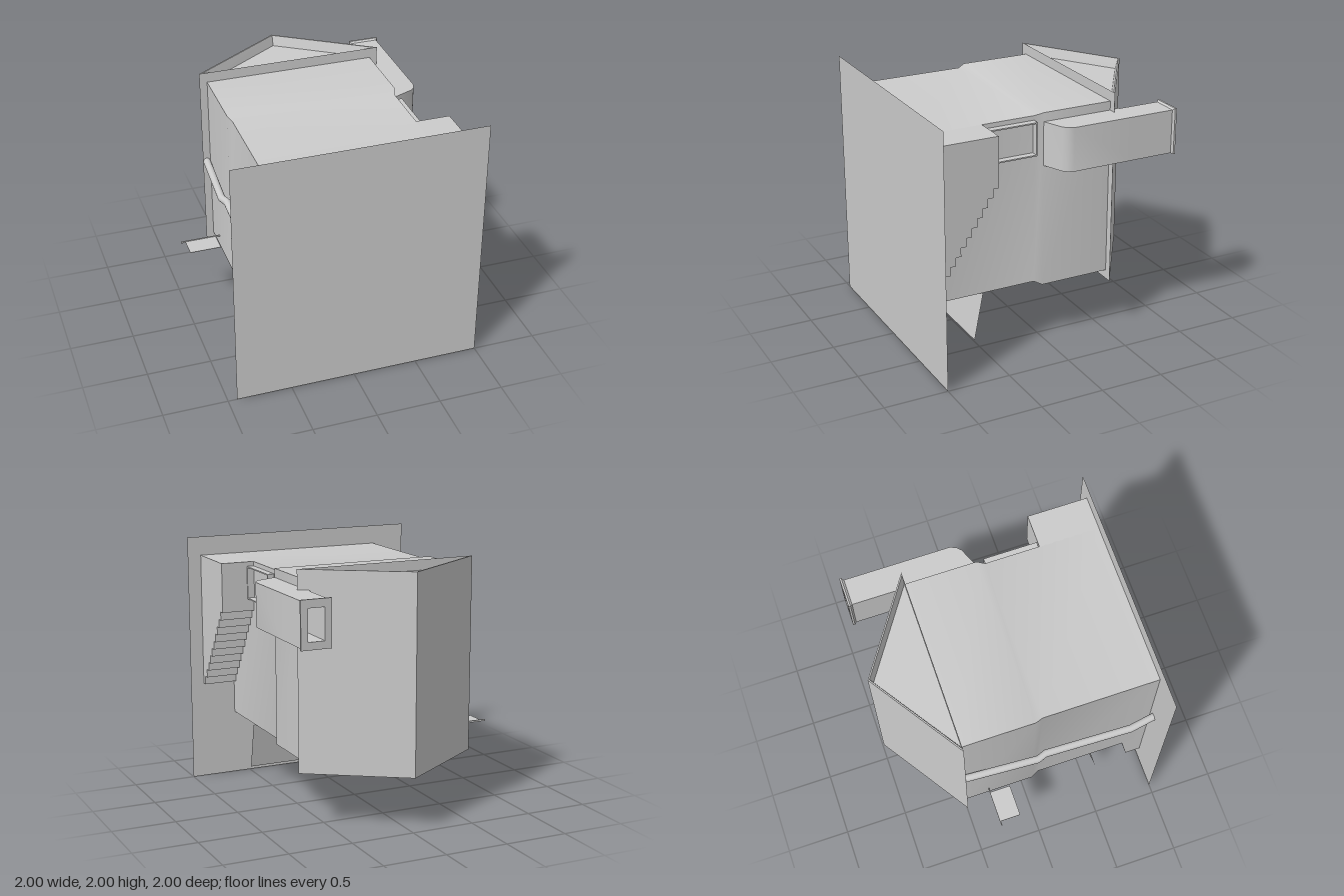
import * as THREE from 'three';
import { toCreasedNormals } from 'three/addons/utils/BufferGeometryUtils.js';

const material = new THREE.MeshStandardMaterial({ color: 0xcccccc });
const thin = new THREE.MeshStandardMaterial({ color: 0xcccccc, side: THREE.DoubleSide });

// Skin a stack of equal-length convex rings of [x, y, z], capped at both ends
function loft(rings, crease = 0.4) {
  const n = rings[0].length;
  const tris = [];
  for (let r = 0; r < rings.length - 1; r++) {
    for (let i = 0; i < n; i++) {
      const j = (i + 1) % n;
      const [a, b, c, d] = [rings[r][i], rings[r][j], rings[r + 1][j], rings[r + 1][i]];
      tris.push([a, b, c], [a, c, d]);
    }
  }
  const first = rings[0], last = rings[rings.length - 1];
  for (let i = 1; i < n - 1; i++) {
    tris.push([first[0], first[i + 1], first[i]], [last[0], last[i], last[i + 1]]);
  }
  // Turn the faces outward
  const v = (p) => new THREE.Vector3(...p);
  const volume = tris.reduce((s, [a, b, c]) => s + v(a).dot(v(b).cross(v(c))), 0);
  if (volume < 0) tris.forEach((t) => t.reverse());
  const geo = new THREE.BufferGeometry();
  geo.setAttribute('position', new THREE.Float32BufferAttribute(tris.flat(2), 3));
  geo.computeVertexNormals();
  return toCreasedNormals(geo, crease);
}

const rectZ = (x0, x1, y0, y1, z) => [[x0, y0, z], [x1, y0, z], [x1, y1, z], [x0, y1, z]];

function box(x0, x1, y0, y1, z0, z1) {
  return new THREE.BoxGeometry(x1 - x0, y1 - y0, z1 - z0)
    .translate((x0 + x1) / 2, (y0 + y1) / 2, (z0 + z1) / 2);
}

const shapeOf = (pts) => new THREE.Shape(pts.map((p) => new THREE.Vector2(...p)));

function extrude(shape, depth) {
  return new THREE.ExtrudeGeometry(shape, { depth, bevelEnabled: false });
}

export function createModel() {
  const model = new THREE.Group();
  const add = (name, geo, mat = material, parent = model) => {
    const mesh = new THREE.Mesh(geo, mat);
    mesh.name = name;
    parent.add(mesh);
    return mesh;
  };

  // The building lies on its back: its ground is at z = 1 and its ridge at z = -1
  add('ground', new THREE.PlaneGeometry(1.93, 2).translate(0.035, 1, 1), thin);

  // Walls, with a slightly wider upper storey
  add('walls', loft([
    rectZ(-0.655, 0.625, 0.52, 1.85, 0.999),
    rectZ(-0.655, 0.625, 0.52, 1.85, 0.1),
    rectZ(-0.68, 0.65, 0.49, 1.87, 0.04),
    rectZ(-0.68, 0.65, 0.49, 1.87, -0.52),
  ]));

  // Gabled roof, its underside sloping back from the rim to the gable walls
  const gable = (x0, x1, peak, y) => [[x0, y, -0.52], [x1, y, -0.52], [-0.013, y, peak]];
  add('roof', loft([
    gable(-0.68, 0.65, -0.963, 0.49),
    gable(-0.72, 0.69, -0.987, 0.42),
    gable(-0.74, 0.71, -1, 0.42),
    gable(-0.74, 0.71, -1, 1.95),
    gable(-0.72, 0.69, -0.987, 1.95),
    gable(-0.68, 0.65, -0.963, 1.87),
  ], 0.1));

  // Outside stair, solid underneath, with a square landing
  const stair = [[-1, 1.85], [-1, 0.79]];
  const steps = 11, run = 0.473 / steps;
  for (let i = 0; i < steps; i++) {
    const y = 0.79 + i * 0.067;
    if (i > 0) stair.push([-1 + run * i, y]);
    stair.push([-1 + run * (i + 1), y]);
  }
  stair.push([-0.527, 1.85]);
  add('stairs', extrude(shapeOf(stair), 0.27).rotateY(Math.PI / 2).translate(0.62, 0, 0));

  // Door frame at the head of the stair
  const frame = shapeOf([[-0.525, 1.555], [-0.105, 1.555], [-0.105, 1.815], [-0.525, 1.815]]);
  frame.holes.push(shapeOf([[-0.515, 1.565], [-0.115, 1.565], [-0.115, 1.805], [-0.515, 1.805]]));
  add('doorFrame', extrude(frame, 0.06).rotateY(Math.PI / 2).translate(0.62, 0, 0));

  // Chimney: curved foot, hollow stack and flared rim
  const chimney = new THREE.Group();
  chimney.name = 'chimney';
  model.add(chimney);
  const foot = shapeOf([[0.64, 0.045], [0.65, 0.04], [0.81, -0.025], [0.84, -0.055],
    [0.86, -0.1], [0.86, -0.6], [0.64, -0.6]]);
  add('chimneyFoot', toCreasedNormals(extrude(foot, 0.34).rotateX(Math.PI / 2).translate(0, 1.8, 0), 0.7),
    material, chimney);
  const stack = shapeOf([[0.65, 1.46], [0.86, 1.46], [0.86, 1.8], [0.65, 1.8]]);
  stack.holes.push(shapeOf([[0.69, 1.51], [0.82, 1.51], [0.82, 1.75], [0.69, 1.75]]));
  add('chimneyStack', extrude(stack, 0.345).translate(0, 0, -0.945), material, chimney);
  const rim = [
    rectZ(0.65, 0.86, 1.46, 1.8, -0.93),
    rectZ(0.637, 0.875, 1.452, 1.812, -0.945),
    rectZ(0.637, 0.875, 1.452, 1.812, -0.96),
    rectZ(0.69, 0.82, 1.51, 1.75, -0.96),
    rectZ(0.69, 0.82, 1.51, 1.75, -0.93),
  ];
  // Four sides of the rim, each a closed strip
  for (let i = 0; i < 4; i++) {
    const j = (i + 1) % 4;
    add('chimneyRim', loft([rim.map((r) => r[i]), rim.map((r) => r[j])], 0.1), material, chimney);
  }

  // Drainpipe with two bends
  const pipe = [[-0.71, -0.52], [-0.745, 0.05], [-0.72, 0.12], [-0.743, 0.8], [-0.71, 0.998]];
  add('drainpipe', loft(pipe.map(([x, z]) => Array.from({ length: 16 }, (_, i) => {
    const a = (i / 16) * Math.PI * 2;
    return [x + 0.029 * Math.cos(a), 1.17 + 0.029 * Math.sin(a), z];
  })), 0.6));

  // Hanging board on its bracket
  add('signBracket', box(-1, -0.675, 0.572, 0.586, -0.328, -0.32));
  add('signBoard', box(-0.965, -0.715, 0.577, 0.581, -0.32, -0.16));

  // Shop front: facing panel, sloped awning and tapered counter
  add('frontPanel', box(-0.62, 0.55, 0.5, 0.53, 0.55, 0.999));
  const awning = new THREE.PlaneGeometry(1.3, 1);
  const p = awning.attributes.position;
  for (let i = 0; i < p.count; i++) {
    const top = p.getY(i) > 0;
    p.setXYZ(i, p.getX(i) - 0.008, top ? 0.52 : 0.15, top ? 0.537 : 0.609);
  }
  awning.computeVertexNormals();
  add('awning', awning, thin);
  const counter = (x1, z0, y) => [[-0.655, y, z0], [x1, y, z0], [x1, y, 0.998], [-0.655, y, 0.998]];
  add('counter', loft([counter(0.215, 0.817, 0.52), counter(0.12, 0.875, 0.2)], 0.05));

  return model;
}
